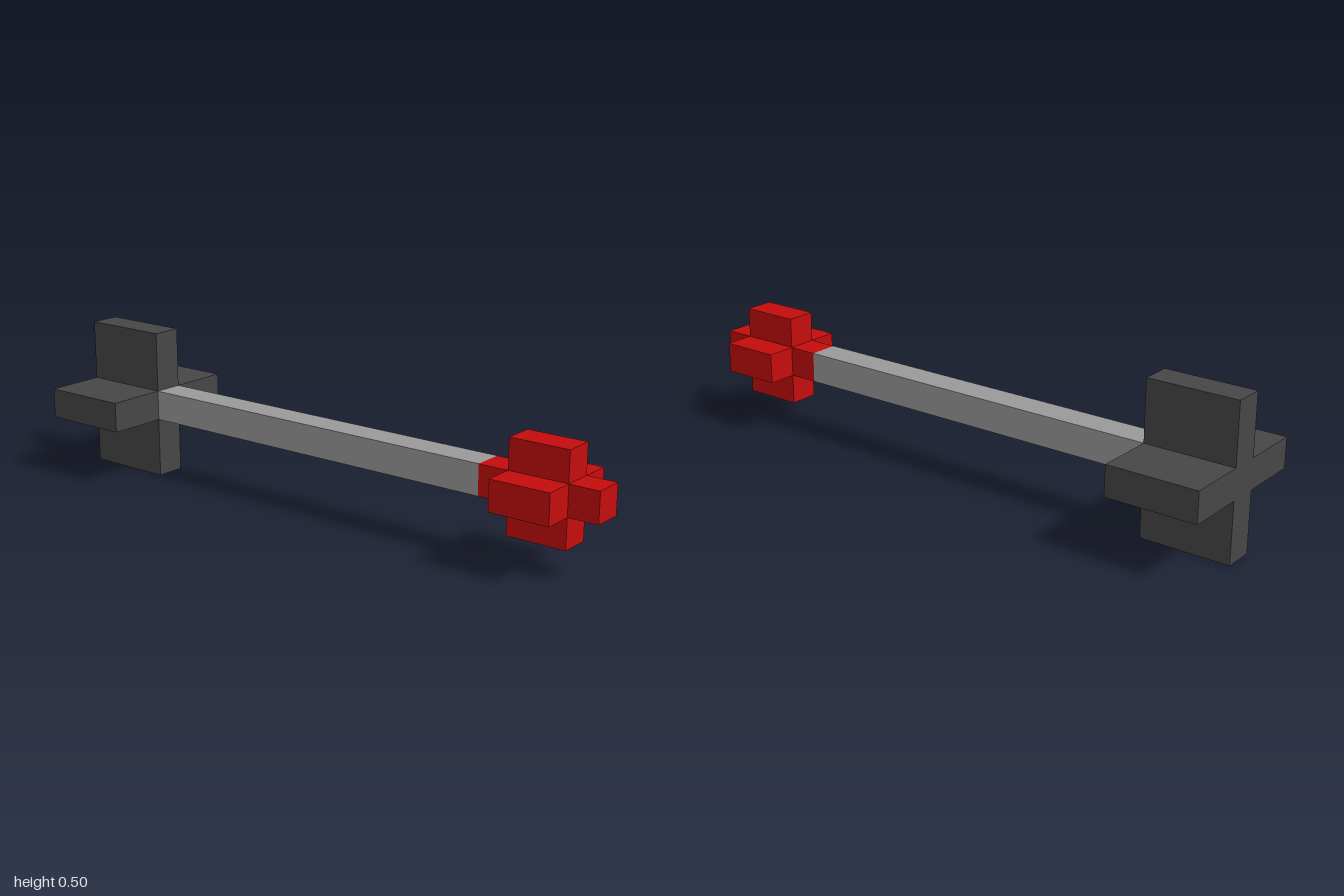
import * as THREE from 'three';

const AXIS_Y = 0.25; // height of the rod's centre line
const HALF = 0.05;   // half thickness of rod and fins

// Prism with a plus-shaped section, running along x from x0 to x1
function crossPrism(x0, x1, reach) {
  const h = HALF, r = reach;
  const points = [
    [h, h], [h, r], [-h, r], [-h, h], [-r, h], [-r, -h],
    [-h, -h], [-h, -r], [h, -r], [h, -h], [r, -h], [r, h],
  ].map(([x, y]) => new THREE.Vector2(x, y));
  const geometry = new THREE.ExtrudeGeometry(new THREE.Shape(points), { depth: x1 - x0, bevelEnabled: false });
  geometry.rotateY(Math.PI / 2);
  return geometry.translate(x0, AXIS_Y, 0);
}

// Square bar along x from x0 to x1
function bar(x0, x1) {
  return new THREE.BoxGeometry(x1 - x0, 2 * HALF, 2 * HALF).translate((x0 + x1) / 2, AXIS_Y, 0);
}

function material(name, color) {
  const m = new THREE.MeshStandardMaterial({ color });
  m.name = name;
  return m;
}

export function createModel() {
  const model = new THREE.Group();
  model.name = 'dart';
  const darkGrey = material('darkGrey', 0x464646);
  const grey = material('grey', 0x999999);
  const red = material('red', 0xc40d0d);

  const add = (name, geometry, mat) => {
    const mesh = new THREE.Mesh(geometry, mat);
    mesh.name = name;
    model.add(mesh);
  };

  // Four tail fins and their core
  add('tailFins', crossPrism(-1, -0.7, 0.25), darkGrey);
  // Rod between tail and head
  add('shaft', bar(-0.7, 0.6), grey);
  // Head: a core bar with four raised blocks around it
  add('headCore', bar(0.6, 1), red);
  add('headBlocks', crossPrism(0.7, 0.9, 0.15), red);

  return model;
}
